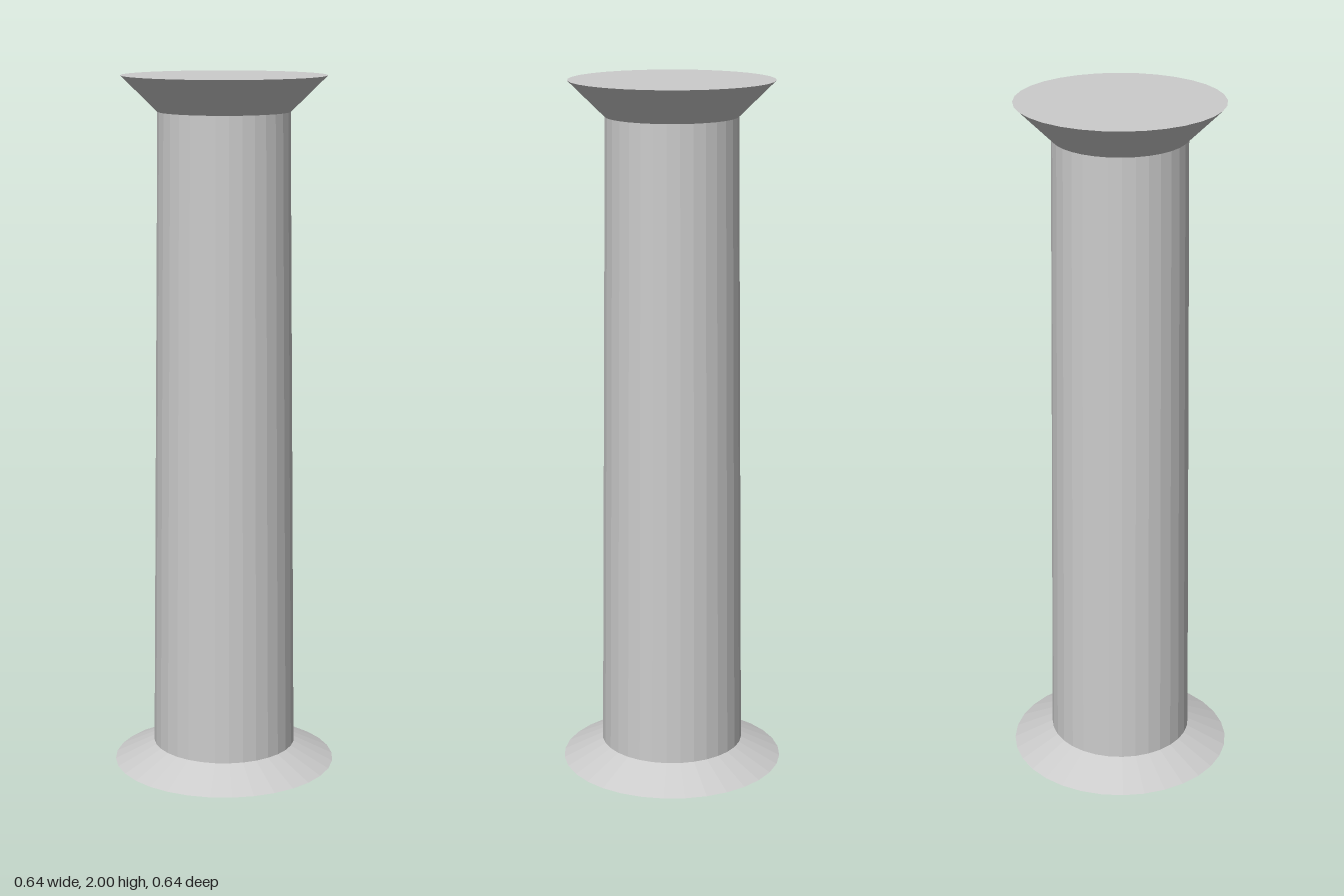
import * as THREE from 'three';

const SIDES = 32;

export function createModel() {
  const column = new THREE.Group();
  column.name = 'column';
  const stone = new THREE.MeshStandardMaterial({ color: 0xcccccc, flatShading: true });

  // Tapered drum standing between two heights
  const addDrum = (name, topRadius, bottomRadius, y0, y1) => {
    const geometry = new THREE.CylinderGeometry(topRadius, bottomRadius, y1 - y0, SIDES);
    const mesh = new THREE.Mesh(geometry, stone);
    mesh.name = name;
    mesh.position.y = (y0 + y1) / 2;
    column.add(mesh);
  };

  addDrum('base', 0.207, 0.322, 0, 0.057); // sloping foot
  addDrum('shaft', 0.186, 0.207, 0.057, 1.9); // slightly tapered shaft
  addDrum('capital', 0.288, 0.186, 1.9, 2); // flared top

  return column;
}
